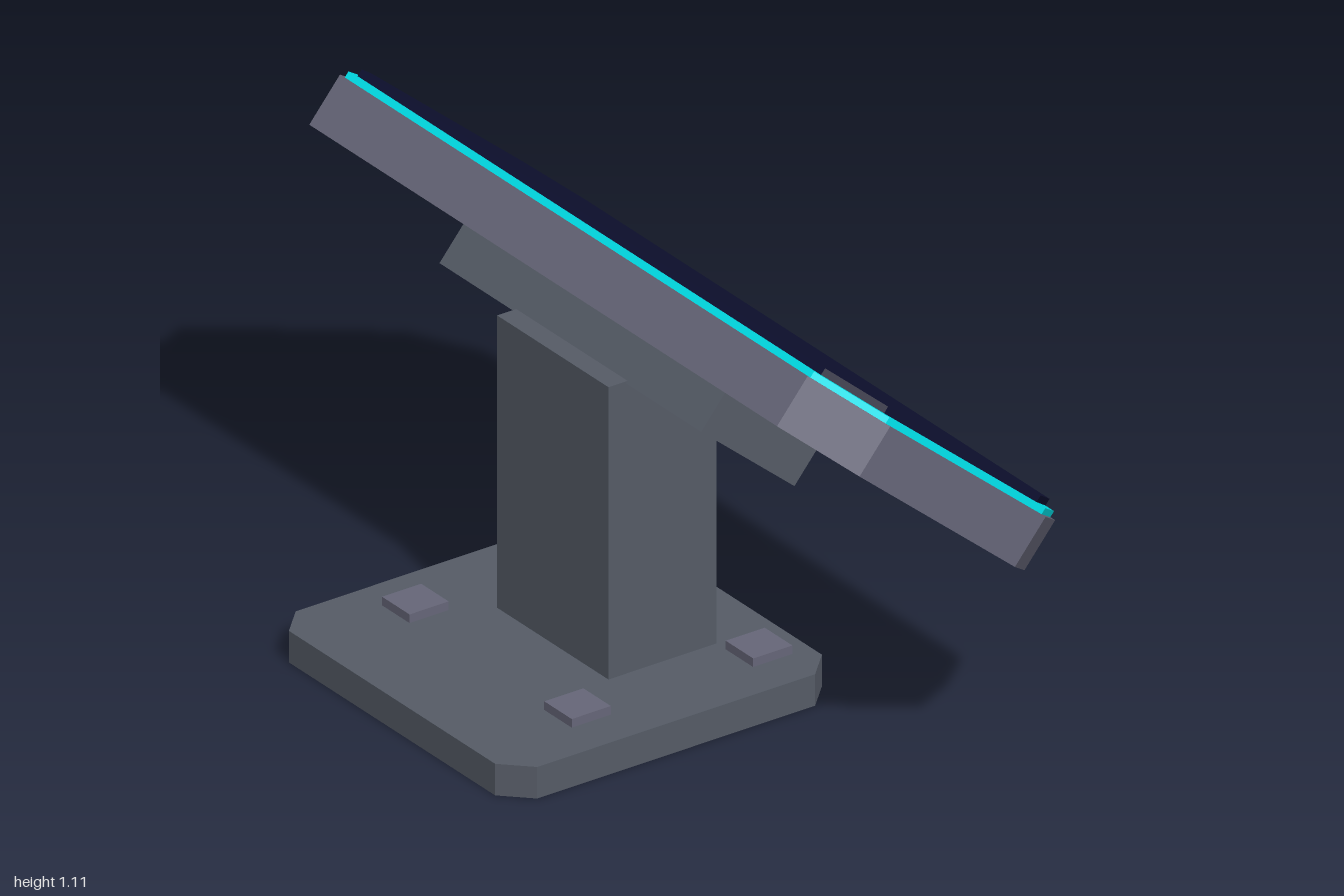
import * as THREE from 'three';

const paint = (color) => new THREE.MeshStandardMaterial({ color, flatShading: true });
const steel = paint(0x555b66), casing = paint(0x666678), glow = paint(0x00e5ee), glass = paint(0x0e1030);

// Flat slab from y0 to y1 with cut corners (cx by cz)
function slab(name, width, depth, cx, cz, y0, y1, material) {
  const w = width / 2, d = depth / 2;
  const outline = [
    [w, d - cz], [w - cx, d], [cx - w, d], [-w, d - cz],
    [-w, cz - d], [cx - w, -d], [w - cx, -d], [w, cz - d],
  ].map(([x, y]) => new THREE.Vector2(x, y));
  const geometry = new THREE.ExtrudeGeometry(new THREE.Shape(outline), { depth: y1 - y0, bevelEnabled: false });
  geometry.rotateX(-Math.PI / 2).translate(0, y0, 0);
  const mesh = new THREE.Mesh(geometry, material);
  mesh.name = name;
  return mesh;
}

// Box given by its limits on each axis
function box(name, [x0, x1], [y0, y1], [z0, z1], material) {
  const mesh = new THREE.Mesh(new THREE.BoxGeometry(x1 - x0, y1 - y0, z1 - z0), material);
  mesh.position.set((x0 + x1) / 2, (y0 + y1) / 2, (z0 + z1) / 2);
  mesh.name = name;
  return mesh;
}

export function createModel() {
  const model = new THREE.Group();
  model.name = 'consoleStand';
  const standX = -0.048;

  // Base plate, post and bolts sit slightly off centre
  const base = slab('basePlate', 0.893, 0.87, 0.065, 0.065, 0, 0.077, steel);
  base.position.set(standX, 0, 0.122);
  model.add(base);
  model.add(box('post', [-0.254, 0.158], [0.077, 0.79], [-0.159, 0.129], steel));
  for (const x of [-0.3, 0.3]) {
    for (const z of [-0.204, 0.279]) {
      model.add(box('bolt', [standX + x - 0.051, standX + x + 0.051], [0.083, 0.104], [z - 0.052, z + 0.052], casing));
    }
  }

  // Tilted head: bracket, casing, glowing rim and screen
  const head = new THREE.Group();
  head.name = 'tiltedHead';
  head.position.set(0, 0.786, -0.181);
  head.rotation.x = -THREE.MathUtils.degToRad(40);
  head.add(box('bracket', [-0.532, 0.436], [-0.17, -0.062], [-0.123, 0.201], steel));
  head.add(slab('panelCasing', 2, 0.86, 0.135, 0.16, -0.0635, 0.0635, casing));
  head.add(slab('glowingRim', 1.968, 0.834, 0.123, 0.146, 0.0635, 0.079, glow));
  head.add(slab('screen', 1.914, 0.78, 0.1, 0.125, 0.08, 0.097, glass));
  model.add(head);
  return model;
}
